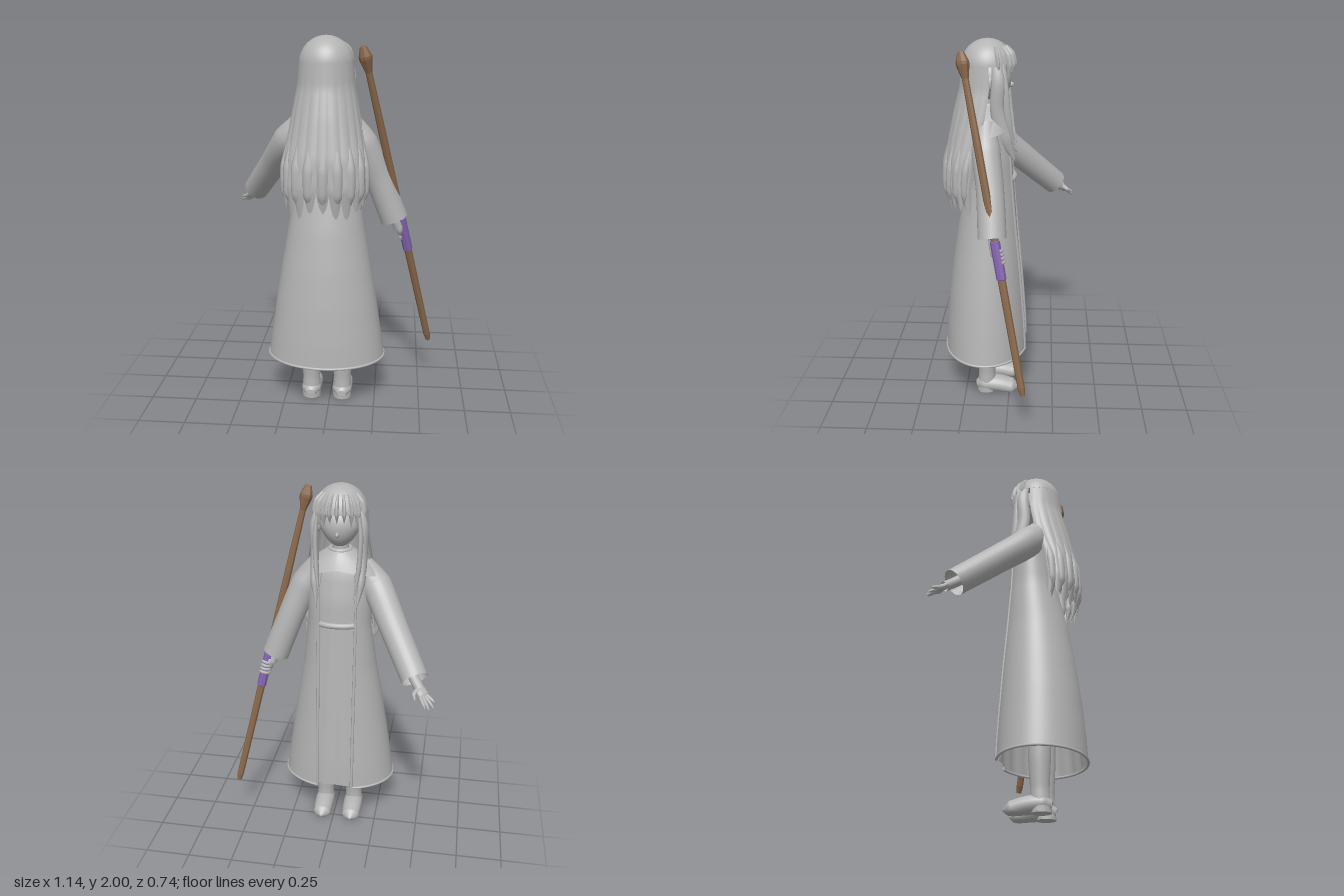
import * as THREE from 'three';
import { mergeVertices } from 'three/addons/utils/BufferGeometryUtils.js';

const V = (x, y, z) => new THREE.Vector3(x, y, z);
const CX = -0.02; // the figure's middle
const grey = new THREE.MeshStandardMaterial({ color: 0xb4b4b4, side: THREE.DoubleSide });
grey.name = 'clay grey';
const wood = new THREE.MeshStandardMaterial({ color: 0x87664a });
wood.name = 'staff brown';
const purple = new THREE.MeshStandardMaterial({ color: 0x8262ae });
purple.name = 'grip purple';

// Smooth surface from a rule f(u, v) with u and v in 0..1
function grid(nu, nv, f) {
  const pos = [], idx = [];
  for (let j = 0; j <= nv; j++)
    for (let i = 0; i <= nu; i++) pos.push(...f(i / nu, j / nv).toArray());
  for (let j = 0; j < nv; j++)
    for (let i = 0; i < nu; i++) {
      const a = j * (nu + 1) + i, b = a + nu + 1;
      idx.push(a, b, a + 1, a + 1, b, b + 1);
    }
  let g = new THREE.BufferGeometry();
  g.setAttribute('position', new THREE.Float32BufferAttribute(pos, 3));
  g.setIndex(idx);
  g = mergeVertices(g, 1e-5);
  g.computeVertexNormals();
  return g;
}

// Linear lookup in rows sorted by falling first entry
function look(rows, y) {
  let i = 0;
  while (i < rows.length - 2 && y < rows[i + 1][0]) i++;
  const a = rows[i], b = rows[i + 1];
  const t = THREE.MathUtils.clamp((y - a[0]) / (b[0] - a[0]), 0, 1);
  return a.map((n, k) => n + (b[k] - n) * t);
}

// Tapered tube along a curve; flat squashes it along the second axis
function tube(pts, radii, { sides = 16, steps = 24, flat = 1, ref = V(0, 0, 1) } = {}) {
  const curve = new THREE.CatmullRomCurve3(pts);
  return grid(sides, steps, (u, v) => {
    const c = curve.getPoint(v), t = curve.getTangent(v);
    const s = ref.clone().cross(t).normalize(), n = t.clone().cross(s);
    const k = v * (radii.length - 1), i = Math.min(Math.floor(k), radii.length - 2);
    const r = THREE.MathUtils.lerp(radii[i], radii[i + 1], k - i), a = -u * Math.PI * 2;
    c.addScaledVector(s, r * Math.cos(a)).addScaledVector(n, r * flat * Math.sin(a));
    c.y = Math.max(c.y, 0);
    return c;
  });
}

// Robe rows: height, half width, back z, front z
const ROBE = [
  [1.67, 0.05, 0.165, 0.06], [1.62, 0.11, 0.19, 0.03], [1.55, 0.165, 0.21, 0.0],
  [1.4, 0.17, 0.215, -0.028], [1.25, 0.172, 0.23, -0.038], [1.0, 0.205, 0.283, -0.055],
  [0.8, 0.24, 0.315, -0.07], [0.6, 0.273, 0.34, -0.083], [0.4, 0.302, 0.357, -0.096],
  [0.27, 0.32, 0.363, -0.1]];
function robePoint(y, a, inset = 0) {
  const [, rx, zb, zf] = look(ROBE, y), r = (zb - zf) / 2 - inset;
  return V(CX + (rx - inset) * Math.sin(a), y, (zb + zf) / 2 - r * Math.cos(a));
}
const gapAngle = y => Math.asin(Math.min(0.1 / look(ROBE, y)[1], 0.6));

// Hair curtain rows: height, half width, centre z, depth
const HAIR = [
  [1.87, 0.139, 0.115, 0.14], [1.75, 0.15, 0.115, 0.15], [1.6, 0.178, 0.14, 0.163],
  [1.4, 0.213, 0.195, 0.15], [1.25, 0.222, 0.21, 0.147], [1.08, 0.205, 0.2, 0.125]];

export function createModel() {
  const root = new THREE.Group();
  const add = (name, geo, mat = grey, parent = root) => {
    const m = new THREE.Mesh(geo, mat);
    m.name = name;
    parent.add(m);
    return m;
  };
  const ball = (name, p, s, parent = root) => {
    const m = add(name, new THREE.SphereGeometry(1, 32, 20), grey, parent);
    m.position.set(...p);
    m.scale.set(...s);
    return m;
  };

  // Open coat over a closed dress
  add('coat', grid(72, 40, (u, v) => {
    const y = 1.67 - 1.4 * v, g = gapAngle(y);
    return robePoint(y, -(g + u * (Math.PI * 2 - 2 * g)));
  }));
  add('dress', grid(64, 36, (u, v) =>
    robePoint(1.66 - 1.38 * v, -u * Math.PI * 2, 0.018 + 0.005 * v * Math.cos(u * Math.PI * 32))));
  for (const s of [-1, 1]) {
    const edge = [];
    for (let y = 1.58; y > 0.27; y -= 0.1) edge.push(robePoint(y, s * gapAngle(y)));
    edge.push(robePoint(0.275, s * gapAngle(0.275)));
    add('coatEdge', tube(edge, [0.006, 0.009, 0.009], { sides: 8, steps: 40 }));
  }
  const hem = [];
  for (let i = 0; i <= 30; i++) {
    const g = gapAngle(0.27);
    hem.push(robePoint(0.275, g + (i / 30) * (Math.PI * 2 - 2 * g)));
  }
  add('coatHem', tube(hem, [0.007, 0.007], { sides: 8, steps: 80, ref: V(0, 1, 0) }));
  const sash = [];
  for (let i = 0; i <= 8; i++) sash.push(robePoint(1.27, -0.6 + i * 0.15, 0.012));
  add('sash', tube(sash, [0.016, 0.016], { sides: 8, ref: V(0, 1, 0) }));

  // Shoulder cape with pointed sides
  add('shoulderCape', grid(64, 10, (u, v) => {
    const a = -u * Math.PI * 2, w = Math.abs(Math.sin(a));
    return V(CX + (0.055 + 0.173 * v) * Math.sin(a), 1.67 - (0.045 + 0.06 * w) * v - 0.05 * v * v * (1 - w * 0.3),
      0.115 - (0.055 + 0.065 * v) * Math.cos(a));
  }));

  // Neck and collar
  const neck = add('neck', new THREE.CylinderGeometry(0.042, 0.046, 0.14, 24));
  neck.position.set(CX, 1.67, 0.115);
  const collar = add('collar', new THREE.TorusGeometry(0.053, 0.013, 10, 32));
  collar.rotation.x = Math.PI / 2;
  collar.position.set(CX, 1.66, 0.112);

  // Face with a narrow chin, nose and ears
  const face = new THREE.SphereGeometry(1, 40, 28), fp = face.attributes.position;
  for (let i = 0; i < fp.count; i++) {
    const y = fp.getY(i), k = 1 - 0.25 * Math.max(0, -y);
    fp.setX(i, fp.getX(i) * k);
  }
  face.computeVertexNormals();
  const head = add('face', face);
  head.position.set(CX, 1.795, 0.102);
  head.scale.set(0.108, 0.117, 0.11);
  ball('nose', [CX, 1.765, -0.005], [0.01, 0.014, 0.017]);
  for (const s of [-1, 1]) ball('ear', [CX + s * 0.115, 1.785, 0.1], [0.016, 0.035, 0.022]);

  // Hair: crown, scalloped back curtain, fringe and long front strands
  const crown = add('hairCrown', new THREE.SphereGeometry(1, 48, 20, 0, Math.PI * 2, 0, Math.PI * 0.47));
  crown.position.set(CX, 1.857, 0.115);
  crown.scale.set(0.14, 0.143, 0.14);
  add('hairCurtain', grid(180, 30, (u, v) => {
    const wave = Math.abs(Math.sin(u * Math.PI * 11));
    const hemY = 1.24 - 0.125 * Math.pow(wave, 0.6) + 0.025 * Math.sin(u * 17);
    const y = 1.87 + (hemY - 1.87) * v, [, rx, cz, rz] = look(HAIR, y);
    const a = (u - 0.5) * 3.35, r = 1 + 0.05 * (wave - 0.6) * v;
    return V(CX + rx * r * Math.sin(a), y, cz + rz * r * Math.cos(a));
  }));
  for (let i = 0; i < 9; i++) {
    const a = (i - 4) * 0.36;
    const at = (y, k) => {
      const [, rx, cz, rz] = look(HAIR, y);
      return V(CX + rx * k * Math.sin(a), y, cz + rz * k * Math.cos(a));
    };
    add('backLock', tube([at(1.5, 0.93), at(1.35, 0.93), at(1.22, 0.92), at(1.12 + 0.02 * (i % 2), 0.88)],
      [0.01, 0.03, 0.028, 0], { sides: 10, flat: 0.8 }));
  }
  for (let i = 0; i < 9; i++) {
    const a = (i - 4) * 0.28, tip = 1.825 - 0.012 * Math.abs(i - 4) + 0.012 * (i % 2);
    const at = (y, r) => V(CX + r * Math.sin(a), y, 0.115 - r * Math.cos(a));
    add('fringe', tube([at(1.96, 0.09), at(1.92, 0.118), at(1.87, 0.13), at(tip, 0.13)],
      [0.012, 0.024, 0.024, 0], { sides: 10, flat: 0.45, ref: V(Math.cos(a), 0, Math.sin(a)) }));
  }
  for (const s of [-1, 1]) {
    const x = d => CX + s * d;
    add('frontStrand', tube([V(x(0.1), 1.92, 0.07), V(x(0.13), 1.8, 0.055), V(x(0.128), 1.65, 0.06),
      V(x(0.122), 1.5, 0.02), V(x(0.105), 1.37, -0.035)], [0.02, 0.034, 0.036, 0.036, 0], { flat: 0.6, ref: V(1, 0, 0) }));
    add('frontStrand', tube([V(x(0.105), 1.88, 0.03), V(x(0.117), 1.75, 0.022), V(x(0.11), 1.58, 0.005),
      V(x(0.09), 1.43, -0.035)], [0.012, 0.022, 0.022, 0], { flat: 0.6, ref: V(1, 0, 0) }));
  }

  // Reaching arm (-x) and lowered arm (+x)
  add('reachingSleeve', tube([V(-0.14, 1.58, 0.13), V(-0.215, 1.47, 0.1), V(-0.33, 1.3, -0.06), V(-0.462, 1.11, -0.25)],
    [0.05, 0.083, 0.075, 0.07], { sides: 24 }));
  add('staffSleeve', tube([V(0.1, 1.58, 0.12), V(0.17, 1.46, 0.115), V(0.25, 1.27, 0.09), V(0.34, 1.04, 0.075)],
    [0.05, 0.075, 0.072, 0.074], { sides: 24 }));

  // Open hand
  const openHand = new THREE.Group();
  openHand.name = 'openHand';
  root.add(openHand);
  add('wrist', tube([V(-0.42, 1.16, -0.2), V(-0.46, 1.11, -0.25), V(-0.493, 1.075, -0.29)],
    [0.028, 0.026, 0.026]), grey, openHand);
  add('palm', tube([V(-0.475, 1.095, -0.27), V(-0.492, 1.075, -0.288), V(-0.512, 1.055, -0.308), V(-0.525, 1.045, -0.32)],
    [0.015, 0.032, 0.034, 0.01], { flat: 0.5, ref: V(0.3, 1, 0.3) }), grey, openHand);
  [[-0.568, 1.035, -0.335], [-0.567, 1.01, -0.352], [-0.545, 1.005, -0.365], [-0.525, 1.01, -0.365]].forEach((p, i) => {
    const base = V(-0.53 + i * 0.011, 1.052, -0.303 - i * 0.008), end = V(...p);
    add('finger', tube([base, base.clone().lerp(end, 0.5), end], [0.011, 0.01, 0.009, 0.003], { sides: 8, steps: 10 }), grey, openHand);
  });
  add('thumb', tube([V(-0.485, 1.08, -0.295), V(-0.465, 1.065, -0.325), V(-0.472, 1.05, -0.355)],
    [0.015, 0.012, 0.004], { sides: 8 }), grey, openHand);

  // Staff with faceted head and wrapped grip, built along its own axis
  const low = V(0.553, 0.262, -0.09), top = V(0.17, 1.955, 0.235);
  const staff = new THREE.Group();
  staff.name = 'staff';
  staff.position.copy(low);
  staff.quaternion.setFromUnitVectors(V(0, 1, 0), top.clone().sub(low).normalize());
  root.add(staff);
  const faceted = rows => {
    const g = new THREE.LatheGeometry(rows.map(p => new THREE.Vector2(...p)), 8).toNonIndexed();
    g.computeVertexNormals();
    return g;
  };
  add('staffShaft', faceted([[0, 0], [0.013, 0], [0.019, 0.04], [0.021, 0.6], [0.02, 1.3], [0.017, 1.63],
    [0.034, 1.7], [0.034, 1.715], [0.017, 1.763], [0, 1.765]]), wood, staff);
  add('staffGrip', faceted([[0.019, 0.61], [0.026, 0.615], [0.026, 0.81], [0.019, 0.815]]), purple, staff);

  // Gripping hand
  add('wrist', tube([V(0.32, 1.1, 0.078), V(0.345, 1.04, 0.07), V(0.365, 0.99, 0.06)], [0.026, 0.025, 0.028]));
  ball('grippingPalm', [0.372, 0.985, 0.055], [0.02, 0.042, 0.03]);
  for (let i = 0; i < 4; i++) {
    const f = add('grippingFinger', new THREE.TorusGeometry(0.026, 0.009, 8, 20, Math.PI * 1.1), grey, staff);
    f.rotation.set(Math.PI / 2, 0, 2.2);
    f.position.y = 0.7 + i * 0.02;
  }

  // Booted legs
  for (const x of [-0.106, 0.068]) {
    const boot = new THREE.Group();
    boot.name = 'boot';
    root.add(boot);
    add('bootShaft', tube([V(x, 0.55, 0.13), V(x, 0.27, 0.128), V(x, 0.12, 0.128), V(x, 0.01, 0.13)],
      [0.06, 0.057, 0.048, 0.052], { sides: 24, ref: V(0, 0, 1) }), grey, boot);
    add('bootFoot', tube([V(x, 0.035, 0.187), V(x, 0.045, 0.14), V(x, 0.04, 0.06), V(x, 0.025, -0.01), V(x, 0.022, -0.06)],
      [0.025, 0.053, 0.056, 0.054, 0.05, 0.0], { sides: 24, flat: 0.85, ref: V(0, 1, 0) }), grey, boot);
    const heel = add('bootHeel', new THREE.CylinderGeometry(0.052, 0.052, 0.03, 24), grey, boot);
    heel.position.set(x, 0.015, 0.133);
  }
  return root;
}
